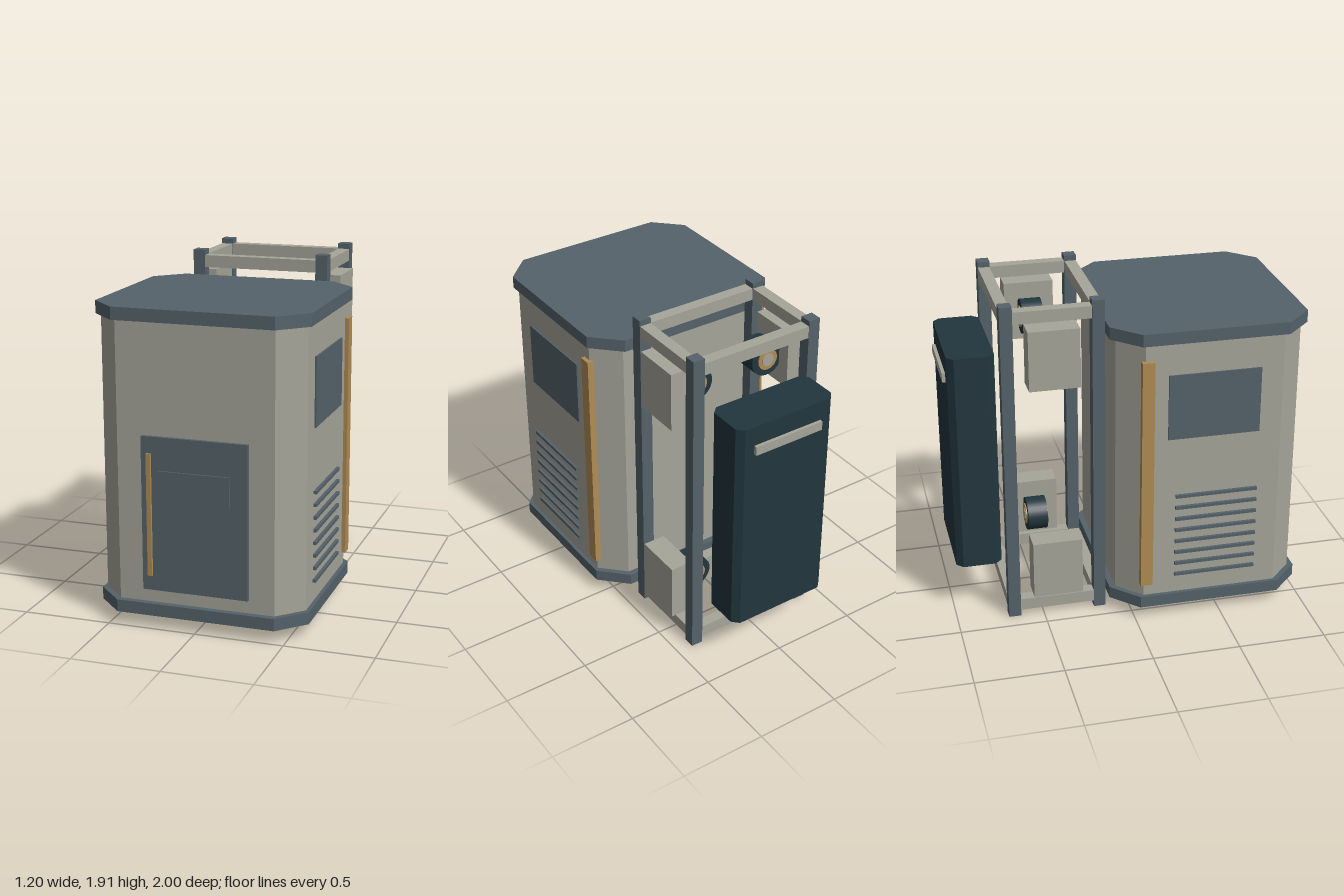
import * as THREE from 'three';

const mat = (name, color) => {
  const m = new THREE.MeshStandardMaterial({ color });
  m.name = name;
  return m;
};

export function createModel() {
  const root = new THREE.Group();
  root.name = 'cabinetWithRack';

  const light = mat('warm grey', 0xa6a59a);
  const slate = mat('slate', 0x54626a);
  const dark = mat('dark teal', 0x22363e);
  const gold = mat('brass', 0xb08c54);

  const add = (name, geometry, material, x, y, z) => {
    const mesh = new THREE.Mesh(geometry, material);
    mesh.name = name;
    mesh.position.set(x, y, z);
    root.add(mesh);
    return mesh;
  };

  // Box given by its limits on each axis
  const box = (name, material, [x0, x1], [y0, y1], [z0, z1]) =>
    add(name, new THREE.BoxGeometry(x1 - x0, y1 - y0, z1 - z0), material,
      (x0 + x1) / 2, (y0 + y1) / 2, (z0 + z1) / 2);

  // Upright prism with chamfered corners in plan
  const prism = (name, material, w, d, cut, y0, y1, z) => {
    const a = w / 2, b = d / 2;
    const plan = new THREE.Shape([
      [a - cut, -b], [a, -b + cut], [a, b - cut], [a - cut, b],
      [-a + cut, b], [-a, b - cut], [-a, -b + cut], [-a + cut, -b],
    ].map(([x, y]) => new THREE.Vector2(x, y)));
    const g = new THREE.ExtrudeGeometry(plan, { depth: y1 - y0, bevelEnabled: false });
    g.rotateX(-Math.PI / 2);
    return add(name, g, material, 0, y0, z);
  };

  // Cabinet
  prism('cabinetBody', light, 1.15, 1.05, 0.135, 0.074, 1.72, 0.44);
  prism('basePlate', slate, 1.195, 1.12, 0.15, 0.076, 0.145, 0.44);
  prism('roofPlate', slate, 1.195, 1.12, 0.15, 1.695, 1.765, 0.44);

  // Front door with raised panel and handle
  box('door', slate, [-0.298, 0.298], [0.22, 1.08], [0.955, 0.985]);
  box('doorPanel', slate, [-0.203, 0.2], [0.73, 0.897], [0.98, 0.995]);
  box('doorHandle', gold, [-0.265, -0.24], [0.305, 0.988], [0.98, 1.0]);

  for (const s of [-1, 1]) {
    const side = (a, b) => (s > 0 ? [a, b] : [-b, -a]);

    // Side window, trim strip and vent slats
    box('sideWindow', slate, side(0.57, 0.584), [1.125, 1.508], [0.18, 0.703]);
    box('sideTrim', gold, side(0.56, 0.598), [0.22, 1.6], [0.028, 0.098]);
    for (let i = 0; i < 8; i++) {
      const y = 0.266 + i * 0.0717;
      box('ventSlat', slate, side(0.57, 0.592), [y - 0.009, y + 0.009], [0.229, 0.703]);
    }

    // Rack posts and the rails running front to back
    for (const z of [-0.168, -0.67]) {
      box('rackPost', slate, side(0.335, 0.405), [0, 1.908], [z - 0.035, z + 0.035]);
    }
    for (const y of [0.073, 1.842]) {
      box('rackSideRail', light, side(0.337, 0.403), [y - 0.035, y + 0.035], [-0.64, -0.2]);
    }

    // Mount blocks with rollers
    for (const y of [0.312, 1.602]) {
      box('mountBlock', light, side(0.315, 0.447), [y - 0.172, y + 0.172], [-0.562, -0.277]);
      const disc = (name, material, r, length) => {
        const g = new THREE.CylinderGeometry(r, r, length, 32);
        g.rotateX(Math.PI / 2);
        add(name, g, material, s * 0.233, y, -0.425);
      };
      disc('roller', dark, 0.1, 0.12);
      disc('rollerRing', gold, 0.062, 0.135);
      disc('rollerHub', light, 0.037, 0.142);
    }
  }

  // Rack rails running across
  for (const z of [-0.168, -0.67]) {
    for (const y of [0.073, 1.842]) {
      box('rackCrossRail', light, [-0.34, 0.34], [y - 0.035, y + 0.035], [z - 0.033, z + 0.033]);
    }
  }

  // Rear pack and its grip
  prism('rearPack', dark, 0.62, 0.262, 0.037, 0.312, 1.6, -0.85);
  box('rearGrip', light, [-0.215, 0.215], [1.432, 1.485], [-1, -0.97]);

  return root;
}
